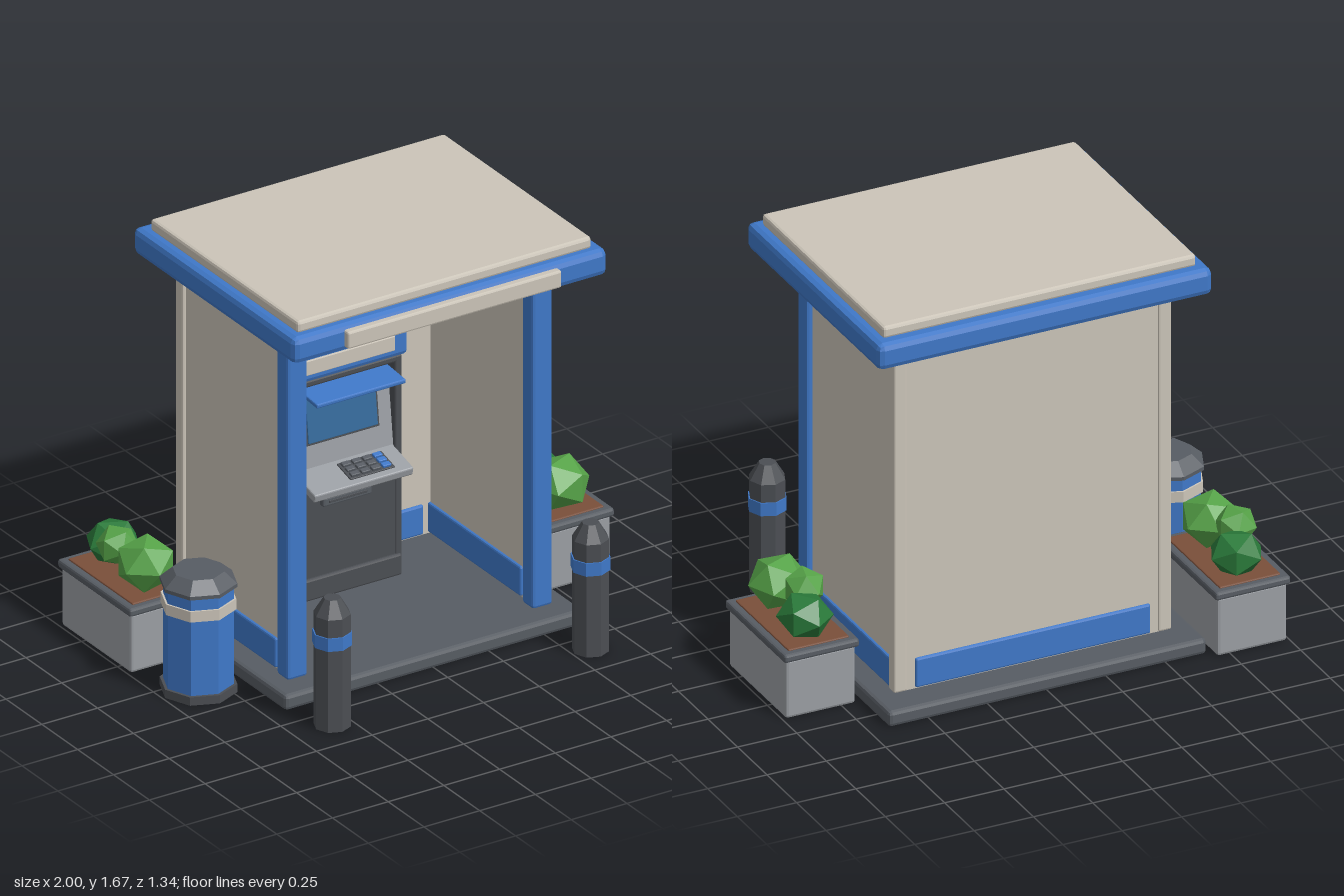
import * as THREE from 'three';
import { RoundedBoxGeometry } from 'three/addons/geometries/RoundedBoxGeometry.js';

const mat = (name, color) => new THREE.MeshStandardMaterial({ name, color, flatShading: true });

export function createModel() {
  const blue = mat('blue paint', 0x3f78c8);
  const cream = mat('cream panel', 0xcbc4b8);
  const dark = mat('dark grey', 0x4b4e53);
  const slate = mat('slate grey', 0x575c63);
  const light = mat('light grey', 0x9a9ea3);
  const glass = mat('screen glass', 0x356a9c);
  const soil = mat('soil', 0x7a4f3a);
  const leafDark = mat('dark leaves', 0x2a7a3a);
  const leafLight = mat('light leaves', 0x56a348);

  const root = new THREE.Group();
  root.name = 'cashKiosk';
  const group = (name, parent = root) => {
    const g = new THREE.Group();
    g.name = name;
    parent.add(g);
    return g;
  };
  const add = (parent, name, geo, m, x, y, z) => {
    const mesh = new THREE.Mesh(geo, m);
    mesh.name = name;
    mesh.position.set(x, y, z);
    parent.add(mesh);
    return mesh;
  };
  // Chamfered box given by its extents on each axis
  const box = (parent, name, m, [x0, x1], [y0, y1], [z0, z1], bevel = 0.008) => {
    const w = x1 - x0, h = y1 - y0, d = z1 - z0;
    const r = Math.min(bevel, w * 0.4, h * 0.4, d * 0.4);
    return add(parent, name, new RoundedBoxGeometry(w, h, d, 1, r), m,
      (x0 + x1) / 2, (y0 + y1) / 2, (z0 + z1) / 2);
  };
  // Octagonal prism or taper
  const octagon = (parent, name, m, rTop, rBottom, y0, y1) =>
    add(parent, name, new THREE.CylinderGeometry(rTop, rBottom, y1 - y0, 8), m, 0, (y0 + y1) / 2, 0);

  // Shelter: floor, walls, posts, skirting
  const shelter = group('shelter');
  box(shelter, 'floorSlab', slate, [-0.67, 0.67], [0, 0.065], [-0.62, 0.41], 0.015);
  box(shelter, 'backWall', cream, [-0.55, 0.55], [0.06, 1.53], [-0.485, -0.445], 0.004);
  box(shelter, 'backSkirting', blue, [-0.495, 0.495], [0.07, 0.195], [-0.496, -0.434]);
  for (const s of [-1, 1]) {
    const span = (a, b) => (s > 0 ? [a, b] : [-b, -a]);
    box(shelter, 'sideWall', cream, span(0.53, 0.57), [0.06, 1.53], [-0.46, 0.25], 0.004);
    box(shelter, 'sideSkirting', blue, span(0.519, 0.581), [0.07, 0.195], [-0.465, 0.2]);
    box(shelter, 'frontPost', blue, span(0.505, 0.595), [0.065, 1.525], [0.23, 0.31], 0.012);
    box(shelter, 'backPost', cream, span(0.53, 0.585), [0.065, 1.525], [-0.492, -0.44]);
  }

  // Roof with fascia sign and ceiling lamp
  const roof = group('roof');
  box(roof, 'roofFrame', blue, [-0.705, 0.705], [1.52, 1.63], [-0.605, 0.525], 0.025);
  box(roof, 'roofCap', cream, [-0.66, 0.66], [1.625, 1.675], [-0.55, 0.48], 0.012);
  box(roof, 'fasciaSign', cream, [-0.48, 0.48], [1.54, 1.612], [0.5, 0.552]);
  box(roof, 'lampHousing', dark, [-0.325, 0.325], [1.482, 1.522], [0.05, 0.17], 0.012);
  box(roof, 'lampPanel', light, [-0.295, 0.295], [1.47, 1.486], [0.07, 0.15], 0.004);

  // Cash machine cabinet
  const machine = group('cashMachine');
  box(machine, 'lowerCabinet', dark, [-0.24, 0.24], [0.065, 0.57], [-0.45, -0.22]);
  box(machine, 'plinth', dark, [-0.25, 0.25], [0.065, 0.155], [-0.45, -0.205]);
  box(machine, 'cabinetBack', dark, [-0.24, 0.24], [0.55, 0.99], [-0.45, -0.32]);
  for (const s of [-1, 1]) {
    const side = s > 0 ? [0.225, 0.257] : [-0.257, -0.225];
    box(machine, 'cheek', dark, side, [0.07, 0.995], [-0.45, -0.215]);
  }
  box(machine, 'cabinetTop', dark, [-0.24, 0.24], [0.965, 0.995], [-0.45, -0.215]);
  box(machine, 'cashSlot', slate, [-0.11, 0.11], [0.45, 0.49], [-0.24, -0.195]);
  box(machine, 'slotGap', dark, [-0.085, 0.085], [0.465, 0.475], [-0.2, -0.192], 0.001);
  box(machine, 'header', blue, [-0.275, 0.275], [0.995, 1.13], [-0.45, -0.2], 0.018);
  box(machine, 'headerSign', cream, [-0.21, 0.21], [1.03, 1.092], [-0.21, -0.192], 0.003);

  // Screen panel leaning back
  const panel = group('screenPanel', machine);
  panel.position.set(0, 0.78, -0.245);
  panel.rotation.x = -0.12;
  box(panel, 'panelFace', light, [-0.226, 0.226], [-0.19, 0.19], [-0.04, 0]);
  box(panel, 'screenFrame', dark, [-0.165, 0.165], [-0.073, 0.142], [-0.005, 0.006], 0.003);
  box(panel, 'screen', glass, [-0.156, 0.156], [-0.064, 0.133], [0, 0.011], 0.003);
  const visor = box(machine, 'visor', blue, [-0.2, 0.2], [0.94, 0.958], [-0.27, -0.1], 0.005);
  visor.rotation.x = 0.08;

  // Sloping tray with keypad
  const tray = group('keypadTray', machine);
  tray.position.set(0, 0.585, -0.16);
  tray.rotation.x = 0.25;
  box(tray, 'trayPlate', light, [-0.222, 0.222], [-0.02, 0.015], [-0.08, 0.08], 0.006);
  box(tray, 'keypadBase', dark, [-0.045, 0.155], [0.012, 0.02], [-0.05, 0.05], 0.002);
  for (let c = 0; c < 4; c++) {
    for (let r = 0; r < 3; r++) {
      const x = -0.035 + c * 0.047, z = -0.043 + r * 0.031;
      box(tray, 'key', c === 3 ? blue : slate, [x, x + 0.037], [0.016, 0.03], [z, z + 0.023], 0.003);
    }
  }

  // Bollards
  for (const s of [-1, 1]) {
    const bollard = group('bollard');
    bollard.position.set(s * 0.58, 0, 0.595);
    octagon(bollard, 'bollardBody', dark, 0.072, 0.072, 0, 0.475);
    octagon(bollard, 'bollardTip', dark, 0.033, 0.072, 0.475, 0.54);
    octagon(bollard, 'bollardBand', blue, 0.077, 0.077, 0.345, 0.4);
  }

  // Litter bin
  const bin = group('litterBin');
  bin.position.set(-0.84, 0, 0.067);
  octagon(bin, 'binFoot', dark, 0.15, 0.15, 0, 0.035);
  octagon(bin, 'binBody', blue, 0.138, 0.138, 0.035, 0.45);
  octagon(bin, 'binBand', cream, 0.146, 0.146, 0.35, 0.395);
  octagon(bin, 'binRim', slate, 0.15, 0.15, 0.445, 0.46);
  octagon(bin, 'binLid', slate, 0.1, 0.15, 0.46, 0.505);

  // Planters with faceted shrubs: [material, x, y, z, radius, height scale, turn]
  const shrubs = [
    [leafLight, -0.005, 0.38, 0.125, 0.122, 0.9, 0.4],
    [leafLight, -0.045, 0.41, -0.01, 0.085, 0.95, 1.3],
    [leafDark, 0.012, 0.36, -0.13, 0.11, 0.85, 2.2],
  ];
  for (const [px, pz, turn] of [[0.84, -0.14, 0], [-0.842, -0.415, 0.5]]) {
    const planter = group('planter');
    planter.position.set(px, 0, pz);
    box(planter, 'planterBox', light, [-0.147, 0.147], [0, 0.25], [-0.243, 0.243], 0.012);
    box(planter, 'planterRim', slate, [-0.158, 0.158], [0.243, 0.278], [-0.255, 0.255], 0.01);
    box(planter, 'planterSoil', soil, [-0.128, 0.128], [0.255, 0.284], [-0.225, 0.225], 0.004);
    for (const [m, x, y, z, r, sy, a] of shrubs) {
      const shrub = add(planter, 'shrub', new THREE.IcosahedronGeometry(r, 0), m, x, y, z);
      shrub.scale.y = sy;
      shrub.rotation.y = a + turn;
    }
  }
  return root;
}
